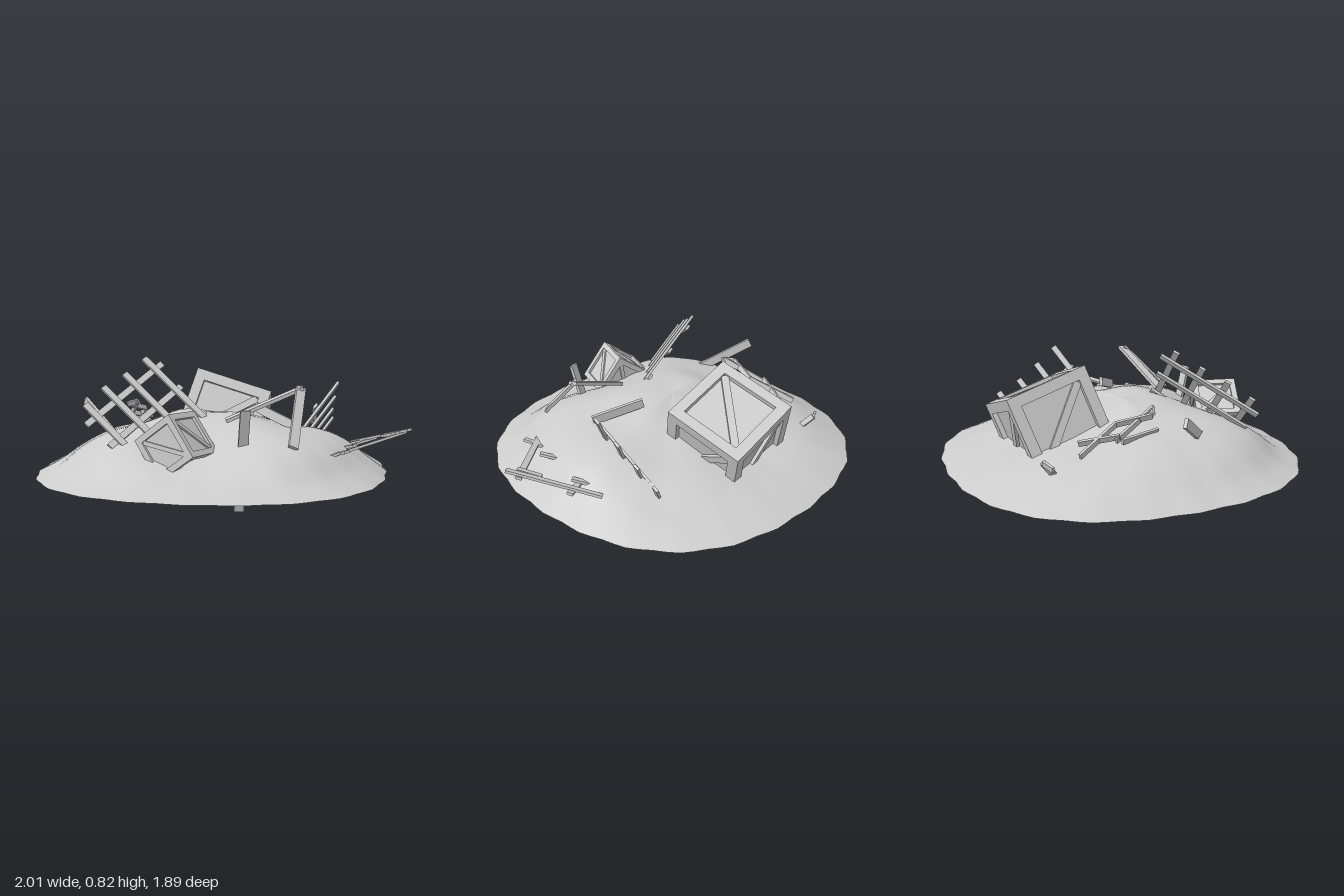
import * as THREE from 'three';

const wood = new THREE.MeshStandardMaterial({ color: 0xcccccc, flatShading: true });
const soil = new THREE.MeshStandardMaterial({ color: 0xcccccc, side: THREE.DoubleSide });
const V = (p) => new THREE.Vector3(...p);

function group(parent, name) {
  const g = new THREE.Group();
  g.name = name;
  parent.add(g);
  return g;
}

function box(parent, name, size, pos = [0, 0, 0]) {
  const m = new THREE.Mesh(new THREE.BoxGeometry(...size), wood);
  m.name = name;
  m.position.set(...pos);
  parent.add(m);
  return m;
}

// Board running from point a to b; its broad side faces along n
function board(parent, name, a, b, w, t, n) {
  const A = V(a), B = V(b);
  const z = B.clone().sub(A);
  const m = box(parent, name, [w, t, z.length()]);
  z.normalize();
  const x = V(n).cross(z).normalize();
  m.quaternion.setFromRotationMatrix(new THREE.Matrix4().makeBasis(x, z.clone().cross(x), z));
  m.position.copy(A).add(B).multiplyScalar(0.5);
}

// Open earth mound: eight radial profiles blended around a wavy rim
function mound(parent) {
  const us = [0, 0.2, 0.4, 0.6, 0.75, 0.88, 1];
  const right = [0.51, 0.5, 0.45, 0.425, 0.375, 0.285, 0.2];
  const left = [0.51, 0.52, 0.45, 0.41, 0.34, 0.26, 0.2];
  const front = [0.51, 0.52, 0.45, 0.355, 0.285, 0.24, 0.2];
  const frontDiag = [0.51, 0.52, 0.475, 0.43, 0.365, 0.255, 0.2];
  const back = [0.51, 0.45, 0.36, 0.31, 0.275, 0.24, 0.2];
  const backLeft = [0.51, 0.46, 0.39, 0.35, 0.31, 0.255, 0.2];
  const backRight = [0.51, 0.46, 0.39, 0.34, 0.28, 0.24, 0.2];
  const curves = [right, frontDiag, front, frontDiag, left, backLeft, back, backRight].map(
    (hs) => new THREE.SplineCurve(hs.map((h, i) => new THREE.Vector2(us[i], h))));
  const rings = 24, segs = 96, pos = [], idx = [];
  for (let i = 0; i <= rings; i++) {
    for (let j = 0; j < segs; j++) {
      const a = (j / segs) * Math.PI * 2;
      const k = (j / segs) * 8, k0 = Math.floor(k), f = k - k0;
      const p = curves[k0].getPoint(i / rings);
      const q = curves[(k0 + 1) % 8].getPoint(i / rings);
      const h = THREE.MathUtils.lerp(p.y, q.y, f * f * (3 - 2 * f));
      const r = p.x * (0.967 - 0.026 * Math.cos(4 * a) + 0.006 * p.x * Math.cos(24 * a));
      pos.push(-0.06 + r * Math.cos(a), h, r * Math.sin(a));
      if (i < rings) {
        const n = (j + 1) % segs, s = i * segs, e = s + segs;
        if (i > 0) idx.push(s + j, s + n, e + j);
        idx.push(s + n, e + n, e + j);
      }
    }
  }
  const g = new THREE.BufferGeometry();
  g.setAttribute('position', new THREE.Float32BufferAttribute(pos, 3));
  g.setIndex(idx);
  g.computeVertexNormals();
  const m = new THREE.Mesh(g, soil);
  m.name = 'mound';
  parent.add(m);
}

// Crate: recessed core, twelve frame beams, one diagonal brace per face
function crate(parent, name, s, center, xAxis, yAxis) {
  const g = group(parent, name);
  const w = s * 0.13, d = s * 0.06, o = (s - w) / 2;
  box(g, 'panels', [s - 2 * d, s - 2 * d, s - 2 * d]);
  for (const i of [-1, 1]) for (const j of [-1, 1]) {
    box(g, 'frameBeam', [s, w, w], [0, i * o, j * o]);
    box(g, 'frameBeam', [w, s - 2 * w, w], [i * o, 0, j * o]);
    box(g, 'frameBeam', [w, w, s - 2 * w], [i * o, j * o, 0]);
  }
  const turns = [[0, 0, 0], [Math.PI / 2, 0, 0], [Math.PI, 0, 0], [-Math.PI / 2, 0, 0],
    [0, Math.PI / 2, 0], [0, -Math.PI / 2, 0]];
  for (const t of turns) {
    const face = group(g, 'braceSide');
    face.rotation.set(...t);
    const brace = box(face, 'brace', [(s - 2 * w) * 1.36, w * 0.7, d * 0.7], [0, 0, s / 2 - d * 0.7]);
    brace.rotation.z = Math.PI / 4;
  }
  const x = V(xAxis).normalize();
  const z = x.clone().cross(V(yAxis)).normalize();
  g.quaternion.setFromRotationMatrix(new THREE.Matrix4().makeBasis(x, z.clone().cross(x), z));
  g.position.set(...center);
}

// Fence: pickets start at origin + t * step and run along dir; rails cross them
function fence(parent, name, origin, step, dir, pickets, rails) {
  const g = group(parent, name);
  const O = V(origin), S = V(step), D = V(dir);
  const n = S.clone().cross(D).normalize();
  const at = (t, u, off) =>
    O.clone().addScaledVector(S, t).addScaledVector(D, u).addScaledVector(n, off).toArray();
  for (const [t, a, b] of pickets)
    board(g, 'picket', at(t, a, 0.007), at(t, b, 0.007), 0.034, 0.014, n.toArray());
  for (const [u, a, b] of rails)
    board(g, 'rail', at(a, u, -0.007), at(b, u, -0.007), 0.034, 0.014, n.toArray());
}

export function createModel() {
  const model = new THREE.Group();
  model.name = 'debrisMound';
  mound(model);

  crate(model, 'largeCrate', 0.45, [-0.065, 0.4, -0.388], [0.955, -0.296, 0], [0.283, 0.91, -0.3]);
  crate(model, 'smallCrate', 0.24, [-0.16, 0.4, 0.552], [0.538, -0.812, 0.23], [0.73, 0.6, 0.25]);

  // Leaning fence on the front right
  fence(model, 'leaningFence', [-0.4, 0.79, 0.17], [-0.24, -0.23, 0.33], [0.34, -0.31, 0.06],
    [[0, -0.05, 0.97], [0.33, -0.05, 0.95], [0.64, -0.08, 0.9], [0.95, -0.05, 0.75]],
    [[0.13, -0.14, 1.1], [0.48, -0.1, 1.08], [0.88, -0.08, 0.4]]);

  // Half buried fence on the left
  fence(model, 'buriedFence', [0.58, 0.43, -0.49], [0.03, 0.24, 0.36], [-0.31, -0.41, 0.24],
    [[0, 0, 1], [0.33, 0.03, 1], [0.66, 0.02, 0.95], [1, 0, 0.9]],
    [[0.36, -0.1, 1.1], [0.86, -0.25, 1.1]]);

  // Collapsed fence lying at the left edge, rising outward
  const flat = group(model, 'fallenFence');
  const y = (x, z) => 0.425 + 0.2 * (x + z - 1.05) + 0.1 * (x - z - 0.9);
  const pieces = [
    [0.56, 0.41, 0.97, 0.06], [0.7, -0.24, 0.99, 0.13], [0.62, -0.18, 0.73, -0.05],
    [0.63, -0.03, 0.83, -0.15], [0.86, 0.02, 0.93, 0.12], [0.63, 0.13, 0.71, 0.22],
    [0.61, 0.28, 0.67, 0.4]];
  pieces.forEach(([x0, z0, x1, z1], i) => {
    const e = i % 3 ? 0.012 : 0;
    board(flat, 'fencePiece', [x0, y(x0, z0) + e, z0], [x1, y(x1, z1) + e, z1], 0.032, 0.014, [-0.3, 1, -0.1]);
  });

  // Broken fence pieces on the right and back
  const broken = group(model, 'brokenFence');
  for (const [a, b] of [
    [[-0.61, 0.4, -0.43], [-0.5, 0.5, -0.2]], [[-0.51, 0.43, -0.4], [-0.6, 0.47, -0.22]],
    [[-0.6, 0.45, -0.24], [-0.5, 0.56, 0]], [[-0.5, 0.5, -0.2], [-0.56, 0.54, -0.03]],
    [[-0.56, 0.54, -0.03], [-0.49, 0.56, 0]], [[-0.54, 0.42, -0.18], [-0.5, 0.44, 0.03]],
    [[-0.63, 0.36, -0.57], [-0.57, 0.38, -0.6]], [[-0.57, 0.38, -0.6], [-0.54, 0.27, -0.51]]])
    board(broken, 'fencePiece', a, b, 0.03, 0.014, [1, 0.4, 0.2]);

  // Loose planks stuck in the mound
  const planks = group(model, 'loosePlanks');
  for (const [a, b, n] of [
    [[-0.79, 0.56, 0.03], [-0.4, 0.285, 0.39], [0.6, 0.1, -0.75]],
    [[0.13, 0.05, 0.41], [0.18, 0.58, 0.55], [0.3, 0, 1]],
    [[0.05, 0.5, 0.31], [0.44, 0.67, 0.25], [-0.4, 1, 0.2]],
    [[0.41, 0.4, 0.52], [0.43, 0.67, 0.25], [0.5, 0.6, 0.6]],
    [[-0.56, 0.04, -0.09], [-0.4, 0.22, 0.25], [0, 1, -0.5]],
    [[0.17, 0.54, 0], [0.39, 0.46, 0.16], [-0.6, 0.1, 1]]])
    board(planks, 'plank', a, b, 0.05, 0.018, n);

  return model;
}
